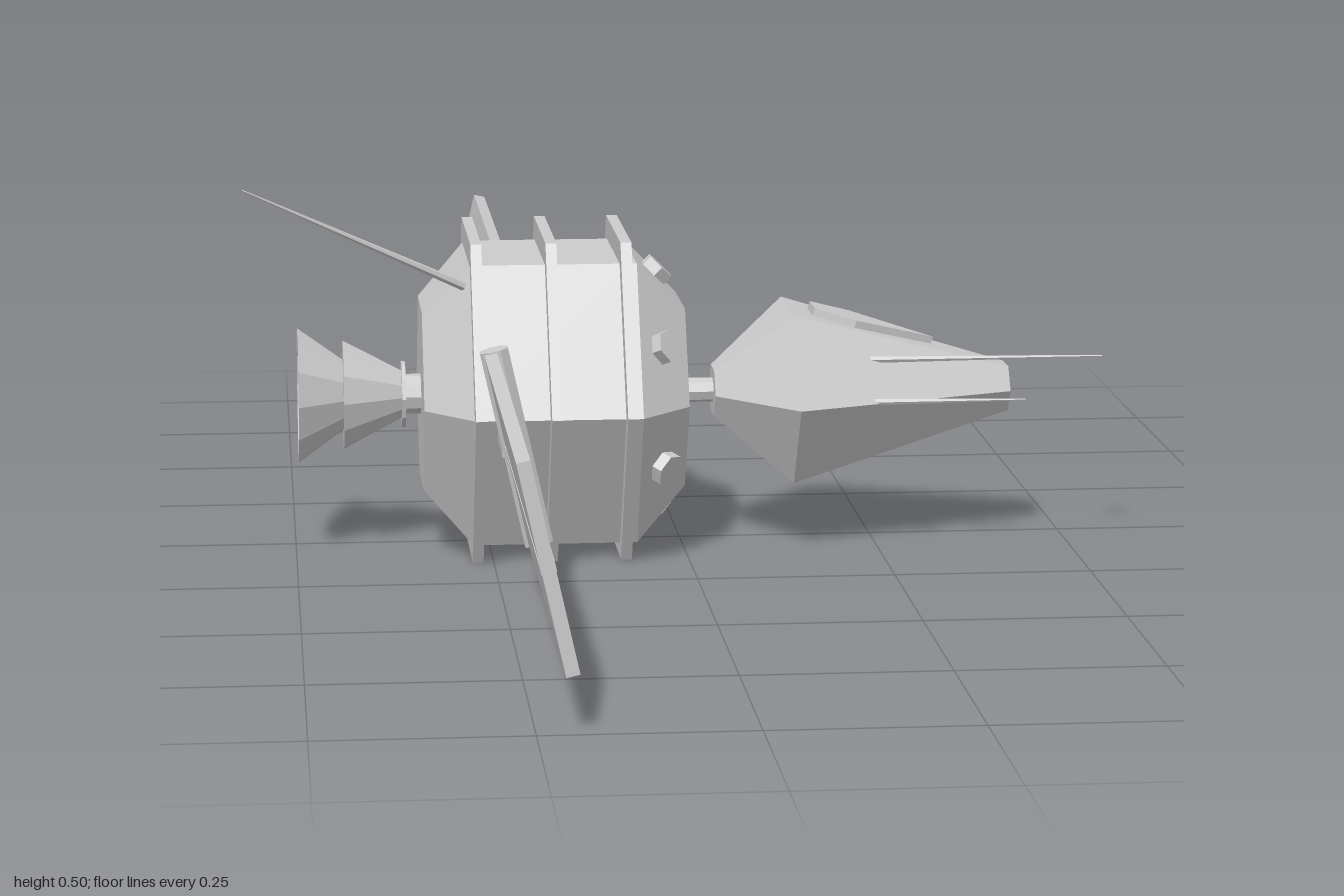
import * as THREE from 'three';

const MAT = new THREE.MeshStandardMaterial({ color: 0xcccccc, flatShading: true, side: THREE.DoubleSide });
const CY = 0.2, CZ = 0.013; // main axis of the craft, running along x

export function createModel() {
  const root = new THREE.Group();

  const add = (name, geo, parent = root) => {
    const m = new THREE.Mesh(geo, MAT);
    m.name = name;
    parent.add(m);
    return m;
  };

  // Solid turned about the main axis from [x, radius] pairs
  const turned = (name, profile, sides, y = CY, yScale = 1) => {
    const geo = new THREE.LatheGeometry(profile.map(([x, r]) => new THREE.Vector2(r, x)), sides);
    geo.rotateZ(-Math.PI / 2);
    const m = add(name, geo);
    m.position.set(0, y, CZ);
    m.scale.y = yScale;
    return m;
  };

  // Straight tapered rod between two points
  const rod = (name, a, b, ra, rb, sides = 6) => {
    const p = new THREE.Vector3(...a), q = new THREE.Vector3(...b);
    const m = add(name, new THREE.CylinderGeometry(rb, ra, p.distanceTo(q), sides));
    m.position.copy(p).add(q).multiplyScalar(0.5);
    m.quaternion.setFromUnitVectors(new THREE.Vector3(0, 1, 0), q.sub(p).normalize());
    return m;
  };

  // Hexagonal service module with chamfered ends and three raised rings
  turned('mainBody', [[-0.337, 0], [-0.337, 0.133], [-0.275, 0.209], [-0.065, 0.209], [0, 0.133], [0, 0]], 6);
  for (const x of [-0.27, -0.175, -0.08]) {
    turned('bodyRing', [[x - 0.007, 0], [x - 0.007, 0.237], [x + 0.007, 0.237], [x + 0.007, 0]], 6, 0.205);
  }

  // Six small ports on the front chamfer
  for (let i = 0; i < 6; i++) {
    const pivot = new THREE.Group();
    pivot.name = 'portMount';
    pivot.position.set(0, CY, CZ);
    pivot.rotation.x = i * Math.PI / 3;
    root.add(pivot);
    const port = add('port', new THREE.CylinderGeometry(0.022, 0.022, 0.024, 6), pivot);
    port.position.set(-0.034, 0.153, 0);
    port.rotation.z = -Math.PI / 4;
  }

  // Neck and flattened hexagonal crew capsule
  rod('neck', [-0.01, CY - 0.003, CZ], [0.06, CY - 0.003, CZ], 0.016, 0.016, 8);
  turned('capsule', [[0.042, 0], [0.042, 0.044], [0.14, 0.158], [0.427, 0.042], [0.427, 0]], 6, 0.196, 0.795);

  // Raised hatch on the sloping top of the capsule
  const hatchShape = new THREE.Shape([
    [0, -0.028], [0.055, -0.04], [0.165, 0], [0.055, 0.04], [0, 0.028],
  ].map(([x, y]) => new THREE.Vector2(x, y)));
  const hatchGeo = new THREE.ExtrudeGeometry(hatchShape, { depth: 0.02, bevelEnabled: false });
  hatchGeo.rotateX(-Math.PI / 2);
  const hatch = add('hatch', hatchGeo);
  hatch.position.set(0.167, 0.287, CZ - 0.003);
  hatch.rotation.z = -0.275;

  // Needle probes along the capsule side, and the long rear aerial
  rod('upperProbe', [0.23, 0.247, 0.089], [0.54, 0.247, 0.089], 0.005, 0.001);
  rod('lowerProbe', [0.235, 0.198, 0.124], [0.435, 0.198, 0.124], 0.005, 0.001);
  rod('rearAerial', [-0.285, 0.355, 0.118], [-0.562, 0.496, 0.224], 0.006, 0.001);

  // Two-stage engine bell with hollow nozzle
  turned('engineMount', [[-0.365, 0], [-0.365, 0.026], [-0.33, 0.026], [-0.33, 0]], 10, 0.198);
  turned('engineFlange', [[-0.362, 0], [-0.362, 0.043], [-0.357, 0.043], [-0.357, 0]], 10, 0.198);
  turned('engineBell', [
    [-0.425, 0], [-0.43, 0.036], [-0.495, 0.08], [-0.495, 0.088], [-0.437, 0.046],
    [-0.437, 0.071], [-0.36, 0.03], [-0.36, 0],
  ], 12, 0.198);

  // Solar wings, tilted in opposite directions front and back
  const strut = add('wingStrut', new THREE.BoxGeometry(0.026, 0.026, 0.64));
  strut.position.set(-0.235, 0.187, 0);
  for (const s of [1, -1]) {
    const wing = new THREE.Group();
    wing.name = s > 0 ? 'frontWing' : 'backWing';
    wing.position.set(-0.231, 0.187, 0);
    wing.rotation.z = s * 0.22;
    root.add(wing);
    const hinge = add('wingHinge', new THREE.CylinderGeometry(0.019, 0.019, 0.25, 8), wing);
    hinge.rotation.y = Math.PI / 8;
    hinge.position.z = s * 0.32;
    const panel = add('solarPanel', new THREE.BoxGeometry(0.016, 0.246, 0.67), wing);
    panel.position.set(-0.005, 0, s * 0.665);
    const rib = add('panelRib', new THREE.BoxGeometry(0.018, 0.014, 0.66), wing);
    rib.position.set(-0.005, 0, s * 0.66);
  }

  return root;
}
